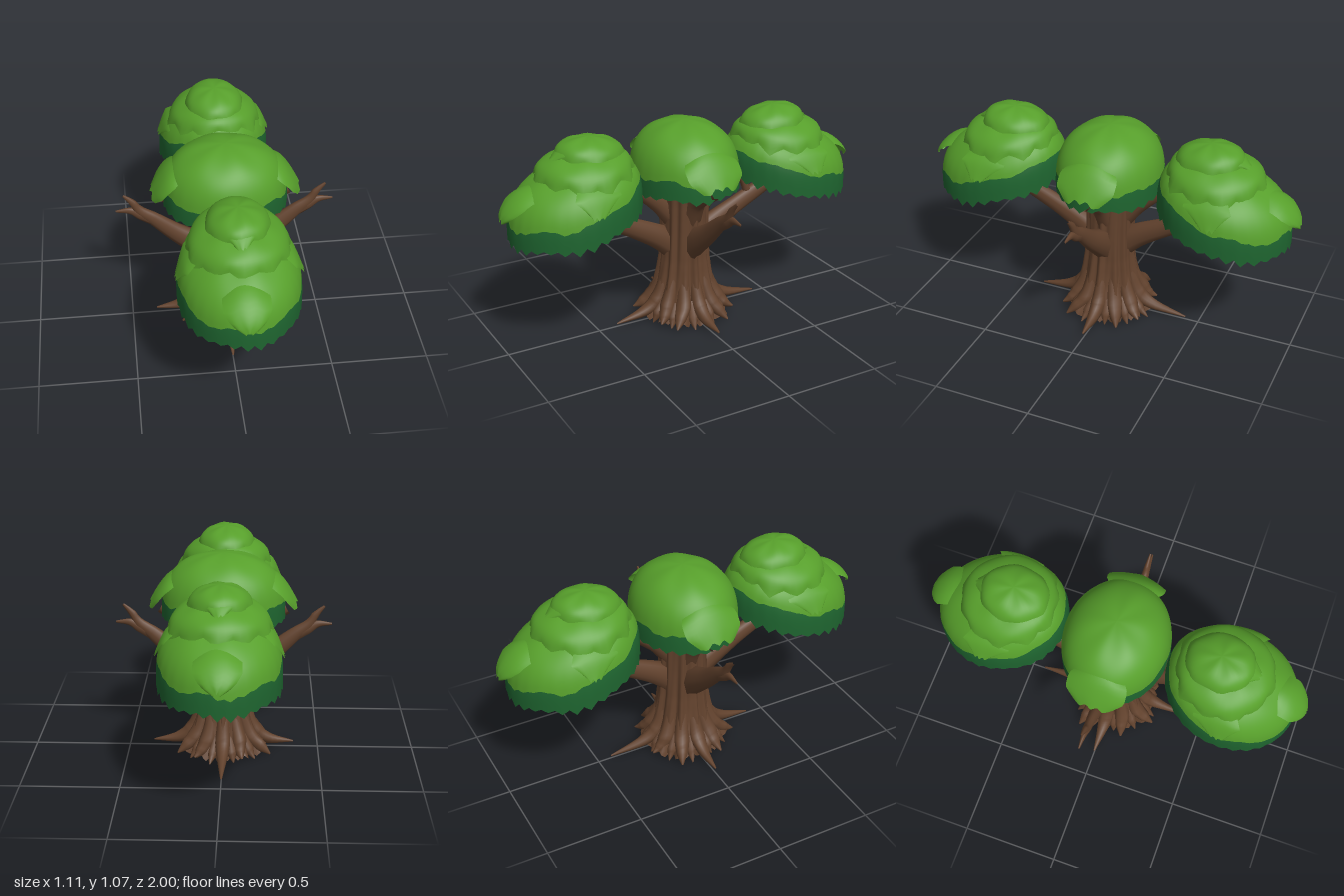
import * as THREE from 'three';

const bark = new THREE.MeshStandardMaterial({ color: 0x62422d, name: 'bark brown' });
const innerWood = new THREE.MeshStandardMaterial({ color: 0x5c3426, name: 'inner wood brown', side: THREE.DoubleSide });
const leafLight = new THREE.MeshStandardMaterial({ color: 0x579f2b, name: 'leaf green', side: THREE.DoubleSide });
const leafDark = new THREE.MeshStandardMaterial({ color: 0x1e642f, name: 'shade green', side: THREE.DoubleSide });

const TAU = Math.PI * 2;
const V = (x, y, z) => new THREE.Vector3(x, y, z);
const lerpList = (list, t) => {
  const f = Math.min(t, 0.9999) * (list.length - 1), i = Math.floor(f);
  return list[i] + (list[i + 1] - list[i]) * (f - i);
};
const zigzag = (t) => Math.abs((((t % 1) + 1) % 1) * 2 - 1);

// Smooth surface from a rule f(u, v); u wraps around when closed
function grid(nu, nv, f, closed = true) {
  const cols = closed ? nu : nu + 1, pos = [], idx = [];
  for (let j = 0; j <= nv; j++)
    for (let i = 0; i < cols; i++) pos.push(...f(i / nu, j / nv).toArray());
  for (let j = 0; j < nv; j++)
    for (let i = 0; i < nu; i++) {
      const k = (i + 1) % cols, a = j * cols + i, b = j * cols + k;
      idx.push(a, a + cols, b, b, a + cols, b + cols);
    }
  const g = new THREE.BufferGeometry();
  g.setAttribute('position', new THREE.Float32BufferAttribute(pos, 3));
  g.setIndex(idx);
  g.computeVertexNormals();
  return g;
}

function add(parent, name, geometry, material) {
  const m = new THREE.Mesh(geometry, material);
  m.name = name;
  parent.add(m);
}

// Ridged limb that tapers along a curve
function limb(points, radii, segs = 18, sides = 14) {
  const curve = new THREE.CatmullRomCurve3(points);
  const fr = curve.computeFrenetFrames(segs);
  return grid(sides, segs, (u, v) => {
    const j = Math.round(v * segs), a = u * TAU;
    const r = lerpList(radii, v) * (1 + 0.07 * Math.cos(7 * a + v * 3));
    return curve.getPoint(v)
      .addScaledVector(fr.normals[j], r * Math.cos(a))
      .addScaledVector(fr.binormals[j], -r * Math.sin(a));
  });
}

// Leafy dome with a toothed rim: a light crown, and optionally a dark skirt and underside
function dome(parent, name, o) {
  const nu = o.teeth * 4;
  const point = (a, t) => {
    const phi = t * Math.PI / 2, s = Math.sin(phi), c = Math.max(0, Math.cos(phi));
    const tooth = zigzag(a * o.teeth / TAU) * (0.7 + 0.3 * Math.sin(5 * a + 1)) * Math.pow(t, 10);
    const k = s * (1 + o.flare * tooth);
    const bump = 0.005 * Math.sin(6 * a) * Math.sin(5 * t) * s;
    const dx = Math.sin(a) * k, dz = Math.cos(a) * o.rz * k;
    return V(dx * o.rx, o.rim + o.slope * dz - o.droop * dx * dx + o.h * Math.pow(c, o.q) + bump - o.tooth * tooth, o.cz + dz);
  };
  const border = (a) => o.border
    ? o.border + o.borderTilt * Math.cos(a) + 0.014 * Math.sin(7 * a) + 0.006 * Math.sin(12 * a + 1) : 1;
  add(parent, name + 'Crown', grid(nu, 20, (u, v) => point(u * TAU, v * border(u * TAU))), leafLight);
  if (!o.border) return;
  add(parent, name + 'Skirt', grid(nu, 7, (u, v) => {
    const a = u * TAU, b = border(a);
    return point(a, b + (1 - b) * v);
  }), leafDark);
  add(parent, name + 'Underside', grid(nu, 4, (u, v) => {
    const p = point(u * TAU, 0.97), c = 1 - v;
    const dz = (p.z - o.cz) * c, dx = p.x * c / o.rx;
    return V(p.x * c, o.rim + o.slope * dz - o.droop * dx * dx + 0.03 * (0.3 + v), o.cz + dz);
  }), leafDark);
}

// Curved overhanging leaf spray with a ragged tip
function spray(points, widths, across, sag) {
  const curve = new THREE.CatmullRomCurve3(points);
  return grid(16, 10, (u, v) => {
    const s = u * 2 - 1;
    const p = curve.getPoint(v * (1 - 0.1 * zigzag(u * 3) - 0.1 * s * s));
    p.addScaledVector(across, lerpList(widths, v) * s);
    p.y -= sag * s * s;
    return p;
  }, false);
}

function buildTrunk(tree) {
  // Fluted trunk flaring into the ground, open underneath
  const profile = [0.135, 0.13, 0.122, 0.12, 0.12, 0.122, 0.125, 0.135, 0.15, 0.175, 0.215];
  add(tree, 'trunk', grid(96, 40, (u, v) => {
    const a = u * TAU;
    const flute = 0.05 * Math.cos(12 * a) + 0.03 * Math.cos(19 * a + v * 4);
    const r = lerpList(profile, v) * (1 + flute * (0.6 + v));
    const y = 0.8 + (0.025 - 0.8) * v + 0.015 * Math.cos(24 * a) * Math.pow(v, 20);
    return V(Math.sin(a) * r, y, Math.cos(a) * r);
  }), bark);

  // Long roots along the axes, shorter ones between
  const reach = [0.4, 0.26, 0.27, 0.37, 0.27, 0.26, 0.43, 0.25, 0.28, 0.37, 0.26, 0.27];
  reach.forEach((len, i) => {
    const a = i / reach.length * TAU, x = Math.sin(a), z = Math.cos(a);
    const bend = 0.03 * Math.sin(i * 2.4) * (i % 3 ? 1 : 0);
    const at = (r, y, side = 0) => V(x * r + z * side, y, z * r - x * side);
    const knee = Math.min(0.235, len - 0.05);
    add(tree, 'root', limb(
      [at(0.092, 0.34), at(0.12, 0.2), at(0.165, 0.1), at(knee, 0.055, bend * 0.5), at(len, 0.02 + 0.015 * (i % 2), bend)],
      [0.015, 0.034, 0.042, 0.03, 0.004], 20, 10), bark);
    // Small side rootlet
    const b = a + 0.26, lx = Math.sin(b), lz = Math.cos(b), l = 0.225 + 0.012 * (i % 3);
    add(tree, 'rootlet', limb(
      [V(lx * 0.14, 0.12, lz * 0.14), V(lx * 0.19, 0.05, lz * 0.19), V(lx * l, 0.008, lz * l)],
      [0.02, 0.028, 0.003], 8, 8), bark);
  });
}

function buildBranches(tree) {
  const slim = 0.7;
  for (const s of [1, -1]) {
    const side = s > 0 ? 'left' : 'right', end = s > 0 ? 'front' : 'back';
    // Bare forked side branches
    add(tree, side + 'Branch', limb(
      [V(s * 0.05, 0.39, 0), V(s * 0.15, 0.47, 0), V(s * 0.26, 0.55, 0), V(s * 0.37, 0.645, 0), V(s * 0.44, 0.7, 0), V(s * 0.47, 0.75, 0), V(s * 0.515, 0.795, 0)],
      [0.075, 0.066, 0.05, 0.036, 0.026, 0.018, 0.006], 24).scale(1, 1, slim), bark);
    add(tree, side + 'Twig', limb(
      [V(s * 0.36, 0.63, 0), V(s * 0.43, 0.67, 0), V(s * 0.48, 0.698, 0), V(s * 0.555, 0.7, 0)],
      [0.03, 0.028, 0.019, 0.005]).scale(1, 1, slim), bark);
    // Upper branches into the middle crown
    add(tree, side + 'UpperBranch', limb(
      [V(s * 0.05, 0.56, 0), V(s * 0.13, 0.68, 0), V(s * 0.24, 0.75, 0), V(s * 0.32, 0.79, 0)],
      [0.07, 0.055, 0.045, 0.035]).scale(1, 1, 0.8), bark);
    // Boughs carrying the front and back crowns
    add(tree, end + 'Bough', limb(
      [V(0, 0.39, s * 0.05), V(0, 0.465, s * 0.15), V(0, 0.55, s * 0.31), V(0, 0.637, s * 0.49), V(0, 0.73, s * 0.64)],
      [0.073, 0.064, 0.05, 0.042, 0.03], 22).scale(slim, 1, 1), bark);
    add(tree, end + 'UpperBough', limb(
      [V(0, 0.55, s * 0.05), V(0, 0.645, s * 0.14), V(0, 0.72, s * 0.23), V(0, 0.8, s * 0.34)],
      [0.065, 0.052, 0.045, 0.03]).scale(0.8, 1, 1), bark);
  }
  add(tree, 'backStrut', limb(
    [V(0, 0.59, -0.39), V(0, 0.67, -0.36), V(0, 0.77, -0.3)], [0.025, 0.018, 0.015], 10, 10), bark);
}

function buildOuterCrown(name) {
  const g = new THREE.Group();
  g.name = name;
  // Tilted lower dome and two shaggy layers stacked over it
  dome(g, 'lower', { cz: 0.61, rx: 0.295, rz: 0.34, rim: 0.675, slope: -0.2, droop: 0.03, h: 0.29, q: 0.6, teeth: 30, tooth: 0.035, flare: 0, border: 0.87, borderTilt: 0.045 });
  dome(g, 'middle', { cz: 0.56, rx: 0.235, rz: 0.235, rim: 0.92, slope: -0.06, droop: 0.03, h: 0.1, q: 0.8, teeth: 11, tooth: 0.045, flare: 0.12 });
  dome(g, 'top', { cz: 0.525, rx: 0.15, rz: 0.17, rim: 0.98, slope: 0.06, droop: 0.01, h: 0.095, q: 0.75, teeth: 9, tooth: 0.03, flare: 0.16 });
  // Drooping sprays
  add(g, 'tipSpray', spray([V(0, 0.885, 0.78), V(0, 0.86, 0.88), V(0, 0.815, 0.945), V(0, 0.765, 0.985), V(0, 0.725, 1.0)],
    [0.09, 0.11, 0.11, 0.08, 0.02], V(1, 0, 0), 0.04), leafLight);
  add(g, 'topSpray', spray([V(0, 1.067, 0.58), V(0, 1.035, 0.67), V(0, 0.985, 0.735)],
    [0.1, 0.08, 0.03], V(1, 0, 0), 0.02), leafLight);
  for (const s of [1, -1])
    add(g, 'sideSpray', spray([V(s * 0.2, 0.91, 0.58), V(s * 0.26, 0.855, 0.6), V(s * 0.305, 0.76, 0.62)],
      [0.1, 0.12, 0.04], V(0, 0, -s), 0.02), leafLight);
  // Wood spreading across the underside where the upper bough enters
  add(g, 'boughFlare', grid(24, 1, (u, v) => {
    const a = u * TAU, r = (1 - v) * (0.08 + 0.008 * Math.sin(5 * a)), z = 0.42 + r * Math.cos(a);
    return V(r * Math.sin(a), 0.839 - 0.3 * z, z);
  }), innerWood);
  return g;
}

export function createModel() {
  const tree = new THREE.Group();
  tree.name = 'tree';
  buildTrunk(tree);
  buildBranches(tree);

  const middle = new THREE.Group();
  middle.name = 'middleCrown';
  dome(middle, 'middle', { cz: 0, rx: 0.315, rz: 0.27, rim: 0.75, slope: 0, droop: 0, h: 0.325, q: 0.65, teeth: 26, tooth: 0.025, flare: 0, border: 0.915, borderTilt: 0 });
  for (const s of [1, -1])
    add(middle, 'endSpray', spray([V(s * 0.2, 1.01, 0), V(s * 0.285, 0.955, 0), V(s * 0.34, 0.885, 0), V(s * 0.38, 0.815, 0)],
      [0.1, 0.15, 0.15, 0.09], V(0, 0, -s), 0.055), leafLight);
  tree.add(middle);

  const back = buildOuterCrown('backCrown');
  back.rotation.y = Math.PI;
  tree.add(buildOuterCrown('frontCrown'), back);
  return tree;
}
